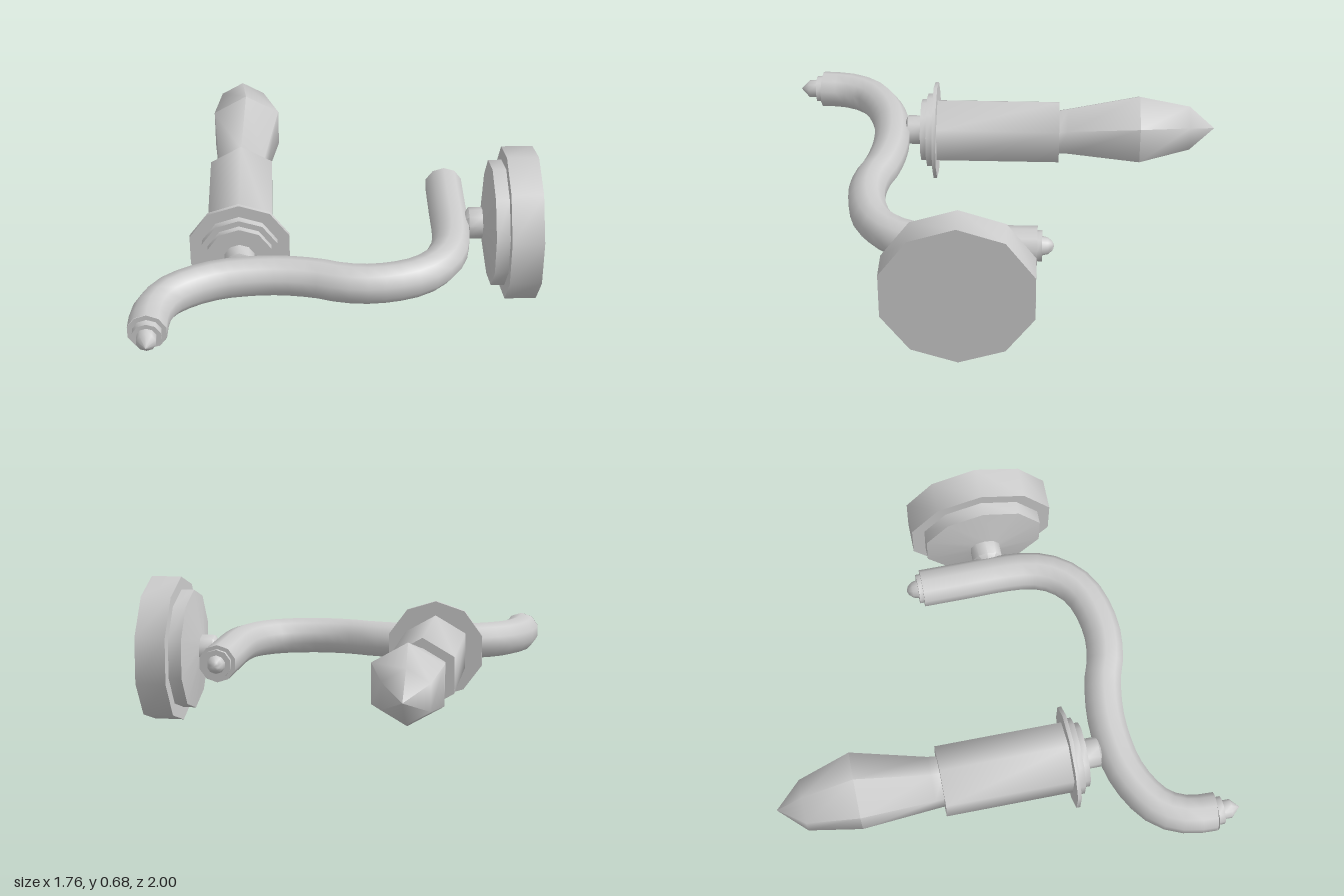
import * as THREE from 'three';
import { toCreasedNormals } from 'three/addons/utils/BufferGeometryUtils.js';

const MID = 0.343; // height of the arm's plane
const material = new THREE.MeshStandardMaterial({ color: 0xcccccc, side: THREE.DoubleSide });

// Turned part: profile of [radius, distance], running towards -z, one corner up
function turned(name, profile, sides) {
  const points = profile.map(([r, d]) => new THREE.Vector2(r, d));
  const geometry = new THREE.LatheGeometry(points, sides).rotateX(-Math.PI / 2);
  const mesh = new THREE.Mesh(toCreasedNormals(geometry, 1.1), material);
  mesh.name = name;
  return mesh;
}

export function createModel() {
  const model = new THREE.Group();
  model.name = 'wallLamp';
  const add = (mesh, x, y, z) => {
    mesh.position.set(x, y, z);
    model.add(mesh);
    return mesh;
  };

  // S-curved arm
  const path = [
    [-0.8, 0.89], [-0.79, 0.77], [-0.74, 0.665], [-0.655, 0.595], [-0.53, 0.54],
    [-0.4, 0.518], [-0.26, 0.515], [-0.1, 0.54], [0, 0.573], [0.12, 0.588],
    [0.26, 0.568], [0.36, 0.525], [0.44, 0.445], [0.485, 0.345], [0.5, 0.22],
    [0.5, 0.02], [0.5, -0.18],
  ].map(([x, z]) => new THREE.Vector3(x, 0, z));
  const arm = new THREE.Mesh(
    new THREE.TubeGeometry(new THREE.CatmullRomCurve3(path), 32, 0.085, 10), material);
  arm.name = 'arm';
  add(arm, 0, MID, 0);

  // Finials closing both ends of the arm
  const front = turned('frontFinial', [
    [0.085, 0], [0.062, 0], [0.062, 0.032], [0.042, 0.032], [0.042, 0.07], [0, 0.11],
  ], 10);
  front.rotation.y = Math.PI;
  add(front, -0.8, MID, 0.89);
  add(turned('backFinial', [
    [0.085, 0], [0.067, 0], [0.067, 0.02], [0.042, 0.02], [0.036, 0.045], [0.02, 0.064], [0, 0.072],
  ], 10), 0.5, MID, -0.18);

  // Wall plate with its stem, turned to face along x
  const plate = turned('wallPlate', [
    [0, 0.54], [0.07, 0.585], [0.07, 0.645], [0.28, 0.68], [0.28, 0.74],
    [0.34, 0.74], [0.34, 0.88], [0, 0.88],
  ], 10);
  plate.rotation.y = -Math.PI / 2;
  add(plate, 0, MID, 0.145);

  // Drip pan with stepped underside and stem
  add(turned('dripPan', [
    [0, -0.475], [0.068, -0.445], [0.068, -0.38], [0.145, -0.38], [0.145, -0.352],
    [0.172, -0.352], [0.172, -0.32], [0.228, -0.32], [0.228, -0.303], [0, -0.303],
  ], 10), -0.43, MID, 0);

  // Candle sleeve
  add(turned('candle', [[0.162, -0.31], [0.162, 0.27], [0, 0.27]], 6), -0.43, MID, 0);

  // Flame bulb: the belly leans slightly to one side and up
  const bulb = turned('flameBulb', [
    [0.115, 0.26], [0.12, 0.31], [0.176, 0.645], [0.116, 0.88], [0, 1],
  ], 6);
  const p = bulb.geometry.attributes.position;
  for (let i = 0; i < p.count; i++) {
    const d = -p.getZ(i);
    const belly = Math.max(0, 1 - Math.abs(d - 0.645) / 0.23);
    p.setX(i, p.getX(i) + 0.02 * belly);
    p.setY(i, p.getY(i) + 0.035 * Math.min(1, (d - 0.26) / 0.385));
  }
  add(bulb, -0.43, MID, 0);

  return model;
}
